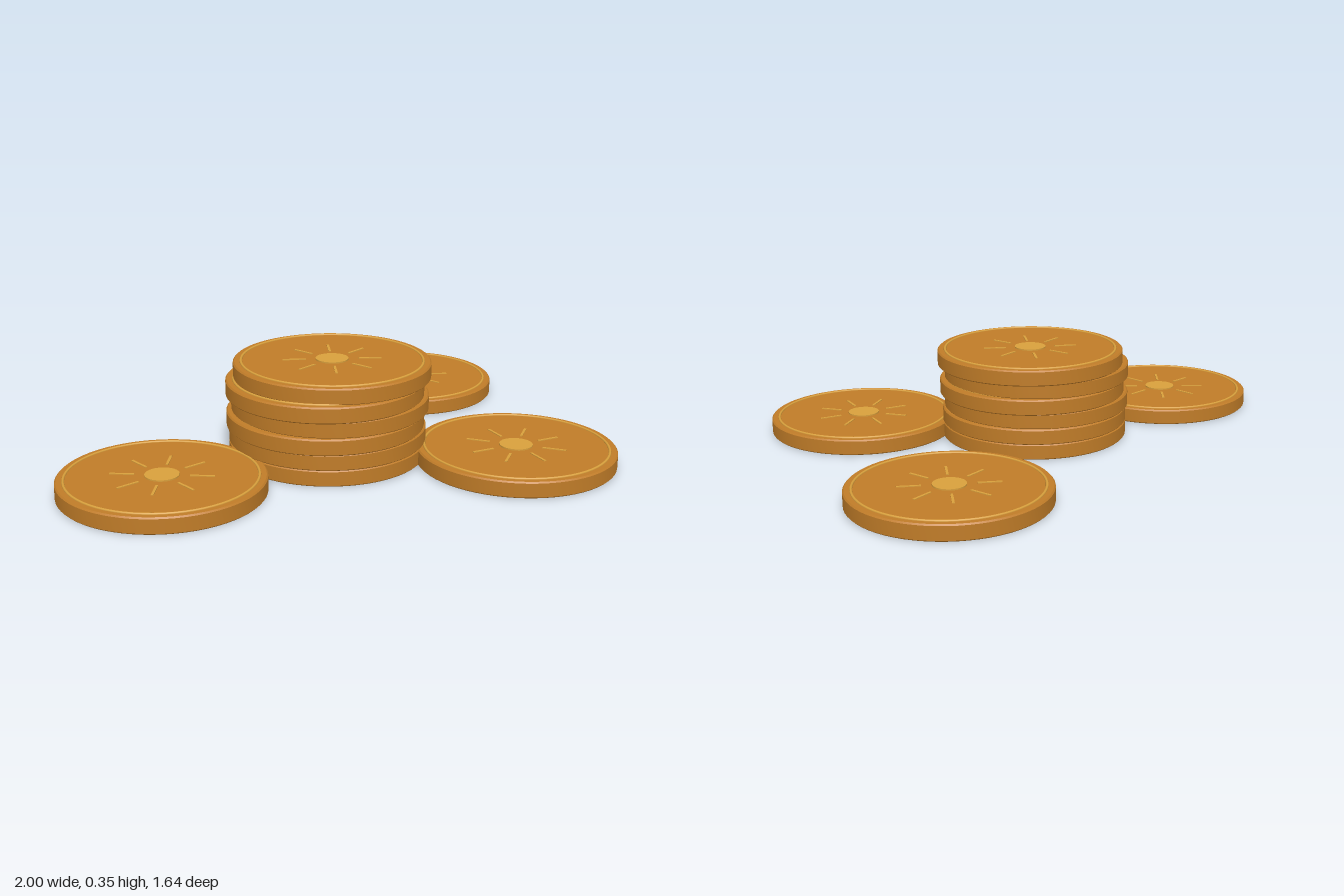
import * as THREE from 'three';
import { toCreasedNormals } from 'three/addons/utils/BufferGeometryUtils.js';

const RADIUS = 0.36, FACE = 0.059, STEP = 0.0575;

const bronze = new THREE.MeshStandardMaterial({ color: 0xc07c28 });
const gold = new THREE.MeshStandardMaterial({ color: 0xd9a03c });

// Disc with small chamfers at both edges
const profile = [
  [0, 0], [RADIUS - 0.004, 0], [RADIUS, 0.004], [RADIUS, FACE - 0.005],
  [RADIUS - 0.005, FACE], [0, FACE],
].map(([x, y]) => new THREE.Vector2(x, y));
const discGeometry = toCreasedNormals(new THREE.LatheGeometry(profile, 64), 0.5);

// Thin raised ring, half sunk into the face
const rimGeometry = new THREE.TorusGeometry(0.331, 0.005, 8, 64).rotateX(Math.PI / 2);
const hubGeometry = new THREE.CylinderGeometry(0.06, 0.06, 0.008, 32);
const rayGeometry = new THREE.BoxGeometry(0.085, 0.006, 0.009).translate(0.138, 0, 0);

function part(name, geometry, material, y) {
  const mesh = new THREE.Mesh(geometry, material);
  mesh.name = name;
  mesh.position.y = y;
  return mesh;
}

function createCoin(name, x, y, z, turn) {
  const coin = new THREE.Group();
  coin.name = name;
  coin.add(
    part('disc', discGeometry, bronze, 0),
    part('rim', rimGeometry, gold, FACE),
    part('hub', hubGeometry, gold, FACE + 0.001),
  );
  // Eight rays around the hub
  for (let i = 0; i < 8; i++) {
    const ray = part('ray', rayGeometry, gold, FACE);
    ray.rotation.y = (i * Math.PI) / 4;
    coin.add(ray);
  }
  coin.position.set(x, y, z);
  coin.rotation.y = THREE.MathUtils.degToRad(turn);
  return coin;
}

export function createModel() {
  const model = new THREE.Group();
  model.name = 'coinPile';

  // Slightly uneven stack, bottom to top
  const stack = new THREE.Group();
  stack.name = 'coinStack';
  [[0, 0.2], [0, 0.2], [-0.01, 0.207], [0.01, 0.197], [-0.012, 0.208], [0.02, 0.187]]
    .forEach(([x, z], i) => stack.add(createCoin('stackedCoin', x, i * STEP, z, 36 + (5 - i) * 17)));
  model.add(stack);

  // Loose coins lying around the stack
  model.add(
    createCoin('looseCoinRight', -0.64, 0, 0.457, 28),
    createCoin('looseCoinLeft', 0.637, 0, 0.457, 12),
    createCoin('looseCoinBack', 0.5, 0, -0.46, 36),
  );
  return model;
}
